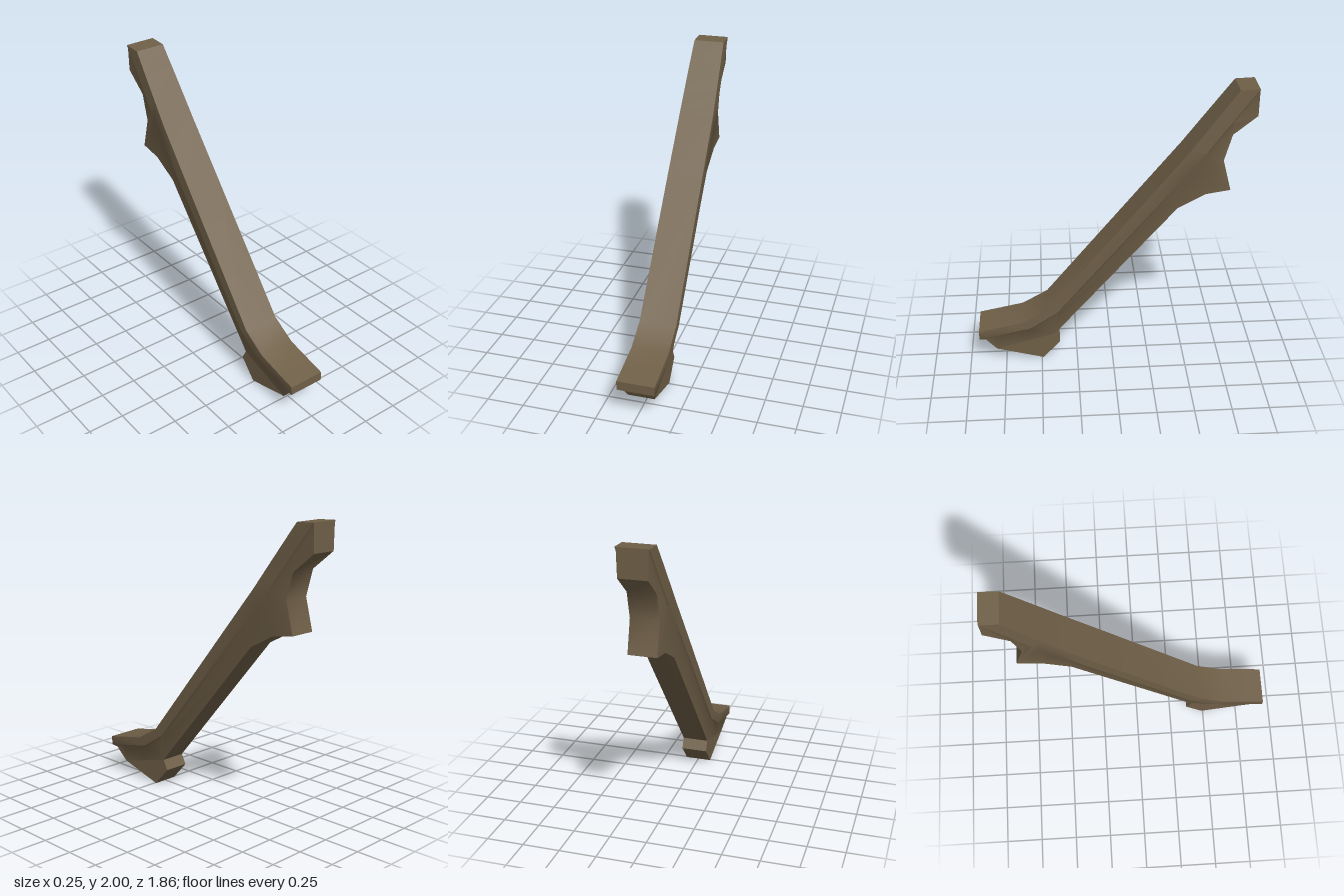
import * as THREE from 'three';
import { toCreasedNormals } from 'three/addons/utils/BufferGeometryUtils.js';

// Stations along the strut, foot to head. Each [z, y, half width]:
// top of cap, lower edge of cap, top of web (under the ledge), bottom of web
const stations = [
  [[0.93, 0.263, 0.127], [0.93, 0.2, 0.127], [0.885, 0.19, 0.115], [0.885, 0.188, 0.115]],
  [[0.85, 0.279, 0.127], [0.85, 0.217, 0.127], [0.8, 0.21, 0.115], [0.815, 0.09, 0.09]],
  [[0.625, 0.325, 0.127], [0.57, 0.275, 0.127], [0.57, 0.264, 0.115], [0.6, 0.147, 0.09]],
  [[0.45, 0.425, 0.126], [0.385, 0.395, 0.126], [0.38, 0.382, 0.114], [0.405, 0.2, 0.09]],
  [[-0.2, 1.223, 0.122], [-0.3, 1.212, 0.122], [-0.305, 1.197, 0.11], [-0.43, 1.17, 0.093]],
  [[-0.47, 1.555, 0.119], [-0.5, 1.451, 0.119], [-0.505, 1.436, 0.108], [-0.615, 1.27, 0.094]],
  [[-0.5, 1.595, 0.118], [-0.6, 1.57, 0.118], [-0.605, 1.555, 0.107], [-0.775, 1.295, 0.094]],
  [[-0.58, 1.702, 0.115], [-0.648, 1.633, 0.115], [-0.65, 1.617, 0.104], [-0.72, 1.51, 0.094]],
  [[-0.7, 1.862, 0.11], [-0.76, 1.782, 0.11], [-0.762, 1.768, 0.1], [-0.77, 1.69, 0.093]],
  [[-0.8, 1.995, 0.105], [-0.925, 2.0, 0.105], [-0.925, 1.985, 0.097], [-0.925, 1.815, 0.093]],
];

// Closed skin through mirrored cross-sections
function loft(sections) {
  const positions = [];
  const index = [];
  const quad = (a, b, c, d) => index.push(a, b, c, a, c, d);
  for (const s of sections) {
    for (const [z, y, w] of s) positions.push(w, y, z);
    for (const [z, y, w] of [...s].reverse()) positions.push(-w, y, z);
  }
  for (let i = 0; i < sections.length - 1; i++) {
    for (let k = 0; k < 8; k++) {
      const n = (k + 1) % 8;
      quad(i * 8 + k, i * 8 + n, i * 8 + 8 + n, i * 8 + 8 + k);
    }
  }
  const e = (sections.length - 1) * 8;
  for (let k = 0; k < 3; k++) {
    quad(7 - k, 6 - k, k + 1, k);
    quad(e + k, e + k + 1, e + 6 - k, e + 7 - k);
  }
  const g = new THREE.BufferGeometry();
  g.setAttribute('position', new THREE.Float32BufferAttribute(positions, 3));
  g.setIndex(index);
  return toCreasedNormals(g, 0.7);
}

export function createModel() {
  const group = new THREE.Group();
  group.name = 'strut';
  const brown = new THREE.MeshStandardMaterial({ color: 0x6f5f47 });
  brown.name = 'brown';

  // Capped beam with the head bracket underneath
  const beam = new THREE.Mesh(loft(stations), brown);
  beam.name = 'beam';
  group.add(beam);

  // Wedge foot below the toe
  const outline = [[0.815, 0.09], [0.49, 0], [0.37, 0.13], [0.405, 0.2]];
  const shape = new THREE.Shape(outline.map(([z, y]) => new THREE.Vector2(-z, y)));
  const footGeometry = new THREE.ExtrudeGeometry(shape, { depth: 0.18, bevelEnabled: false });
  footGeometry.translate(0, 0, -0.09).rotateY(Math.PI / 2);
  const foot = new THREE.Mesh(footGeometry, brown);
  foot.name = 'foot';
  group.add(foot);

  return group;
}
